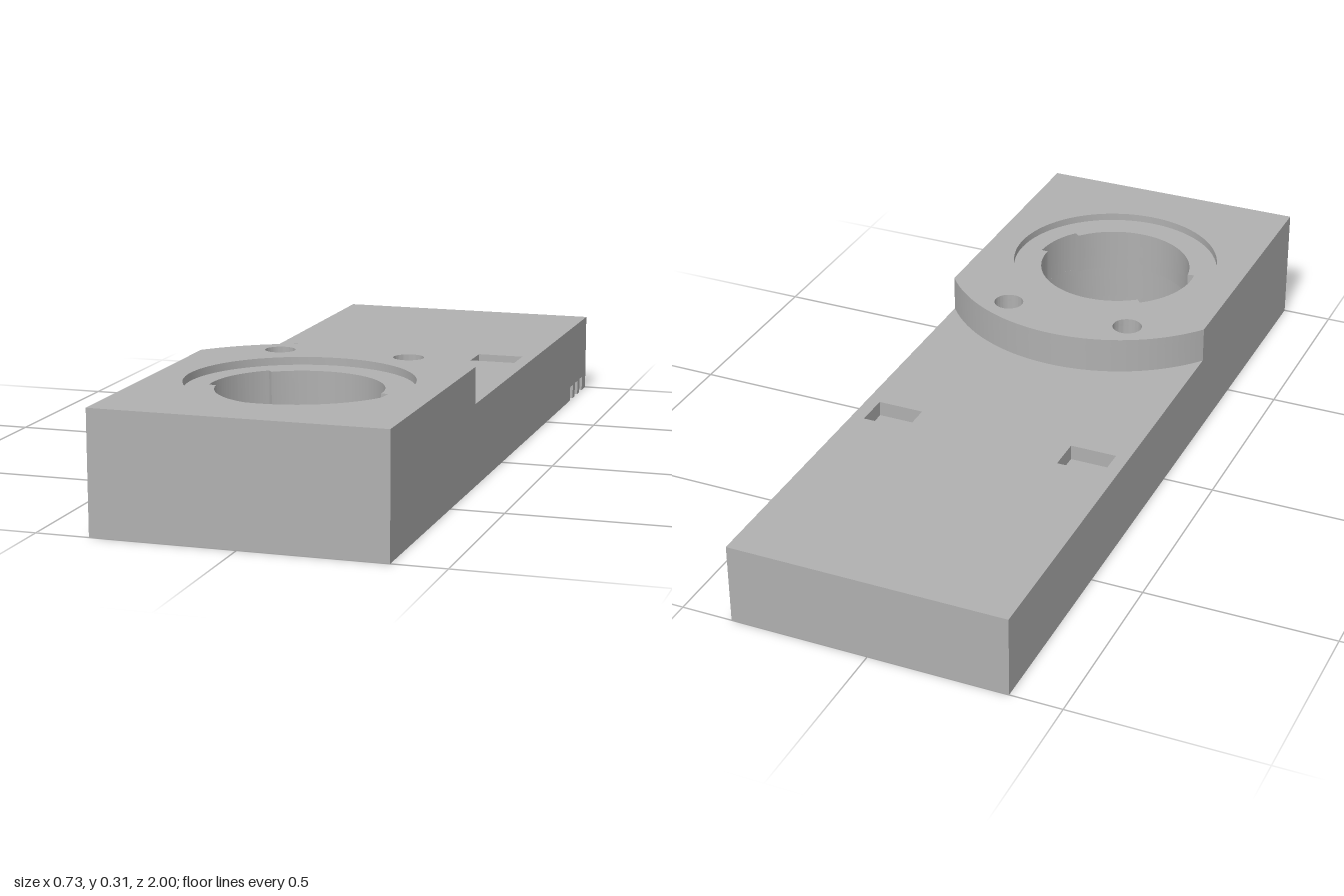
import * as THREE from 'three';
import { toCreasedNormals } from 'three/addons/utils/BufferGeometryUtils.js';

const W = 0.365;         // half width
const WALL = 0.062;      // rim thickness
const CZ = 0.555;        // z of the socket centre
const BORE = 0.225, LIP = 0.207, RECESS = 0.283;
// heights of the stacked levels
const GROOVE = 0.04, CEILING = 0.07, LEDGE = 0.173, DECK = 0.213, SEAT = 0.288, TOP = 0.308;

// Shapes are drawn in plan, with shape y = -z
function poly(points, Type = THREE.Shape) {
  return new Type(points.map(([x, z]) => new THREE.Vector2(x, -z)));
}
function rect(x0, x1, z0, z1, Type) {
  return poly([[x0, z1], [x1, z1], [x1, z0], [x0, z0]], Type);
}
function circle(x, z, r, Type = THREE.Path) {
  return new Type().absarc(x, -z, r, 0, Math.PI * 2, false);
}

// Round opening with two wider slots for a twist lock
function twistLockHole() {
  const path = new THREE.Path();
  const arcs = [[LIP, -1, 129], [BORE, 129, 188], [LIP, 188, 322], [BORE, 322, 359]];
  for (const [r, a, b] of arcs) {
    path.absarc(0, -CZ, r, THREE.MathUtils.degToRad(a), THREE.MathUtils.degToRad(b), false);
  }
  path.closePath();
  return path;
}

// Front block outline: rectangle closed by a wide arc at the back
function blockOutline() {
  const R = 0.46, a = Math.acos(W / R);
  const s = new THREE.Shape();
  s.moveTo(-W, -1);
  s.lineTo(W, -1);
  s.absarc(0, -CZ, R, a, Math.PI - a, false);
  s.closePath();
  return s;
}

export function createModel() {
  const model = new THREE.Group();
  const grey = new THREE.MeshStandardMaterial({ color: 0xb0b0b0 });
  grey.name = 'grey';

  function layer(name, shape, y0, y1, holes = []) {
    shape.holes.push(...holes);
    const geo = new THREE.ExtrudeGeometry(shape, { depth: y1 - y0, bevelEnabled: false, curveSegments: 40 });
    geo.rotateX(-Math.PI / 2);
    geo.translate(0, y0, 0);
    const mesh = new THREE.Mesh(toCreasedNormals(geo, 0.5), grey);
    mesh.name = name;
    model.add(mesh);
  }

  // Lower rim, broken by three cable grooves on the left wall
  const xi = W - WALL, zi = 1 - WALL;
  const grooves = [[-0.832, -0.798], [-0.893, -0.859], [-0.954, -0.92]];
  const first = grooves[0][1], last = grooves[2][0];
  layer('lowerRim', poly([
    [W, first], [W, 1], [-W, 1], [-W, -1], [W, -1], [W, last],
    [xi, last], [xi, -zi], [-xi, -zi], [-xi, zi], [xi, zi], [xi, first],
  ]), 0, GROOVE);
  for (let i = 0; i < 2; i++) {
    layer('grooveTooth', rect(xi, W, grooves[i + 1][1], grooves[i][0]), 0, GROOVE);
  }
  layer('upperRim', rect(-W, W, -1, 1), GROOVE, CEILING, [rect(-xi, xi, -zi, zi, THREE.Path)]);

  // Socket collar inside the underside cavity
  layer('socketCollar', circle(0, CZ, 0.286, THREE.Shape), 0, CEILING, [circle(0, CZ, BORE)]);

  // Main plate, with two blind rectangular pockets in its upper level
  layer('basePlate', rect(-W, W, -1, 1), CEILING, LEDGE, [circle(0, CZ, BORE)]);
  layer('deckPlate', rect(-W, W, -1, 1), LEDGE, DECK, [
    twistLockHole(),
    rect(-0.33, -0.208, -0.35, -0.26, THREE.Path),
    rect(0.208, 0.33, -0.35, -0.26, THREE.Path),
  ]);

  // Raised front block with screw holes and a shallow round recess
  const screwHoles = () => [-1, 1].map((s) => circle(s * 0.172, 0.21, 0.039));
  layer('raisedBlock', blockOutline(), DECK, SEAT, [twistLockHole(), ...screwHoles()]);
  layer('recessRim', blockOutline(), SEAT, TOP, [circle(0, CZ, RECESS), ...screwHoles()]);

  return model;
}
